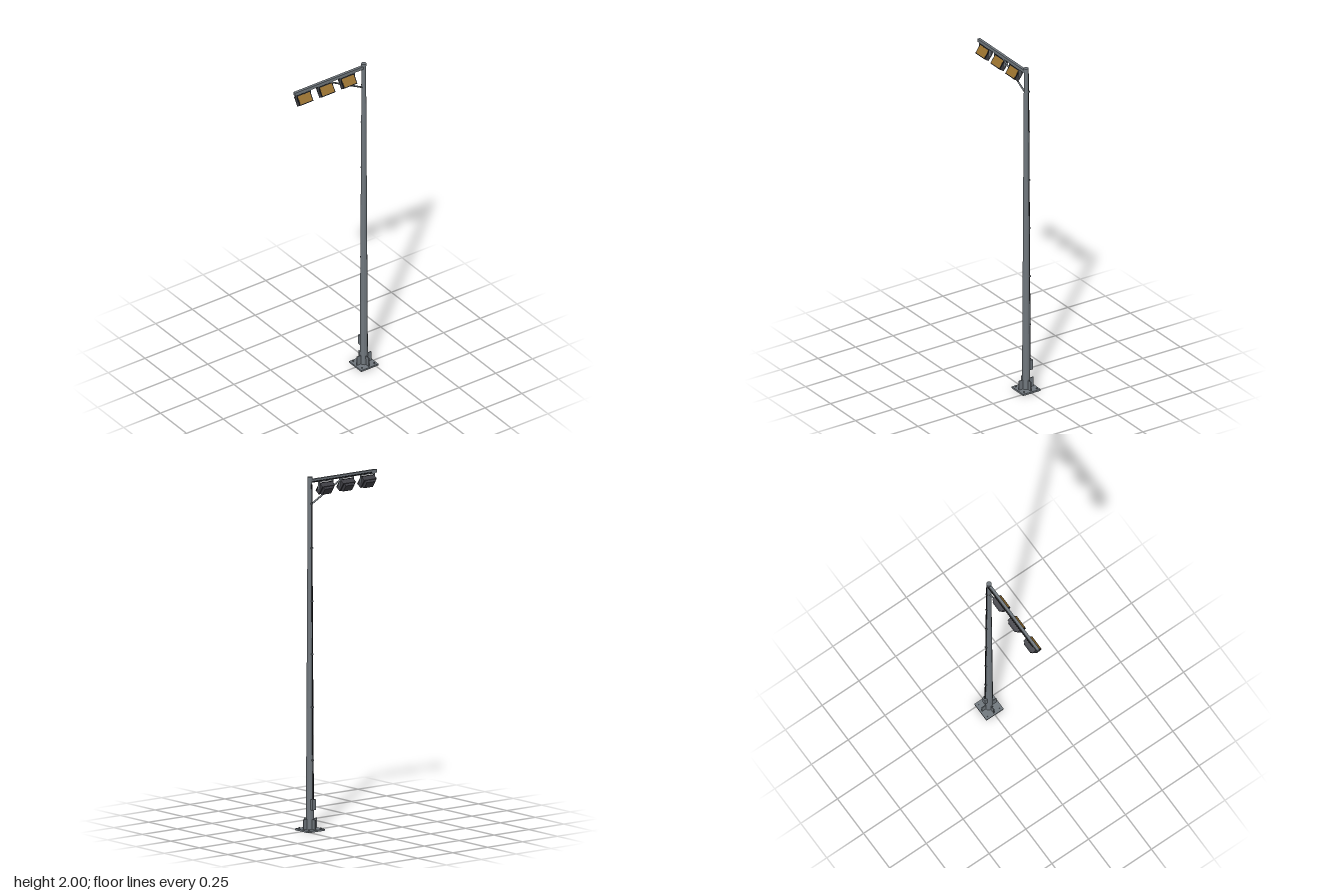
import * as THREE from 'three';

const mat = (name, color, extra = {}) => {
  const m = new THREE.MeshStandardMaterial({ color, ...extra });
  m.name = name;
  return m;
};

export function createModel() {
  const steel = mat('galvanised steel', 0x70777d);
  const pole = mat('pole steel', 0x70777d, { flatShading: true });
  const housing = mat('lamp housing', 0x3e3e44);
  const black = mat('black trim', 0x1b1b1f);
  const amber = mat('amber lens', 0x98702e);

  const root = new THREE.Group();
  root.name = 'streetLight';

  const add = (parent, name, geo, m, x = 0, y = 0, z = 0) => {
    const mesh = new THREE.Mesh(geo, m);
    mesh.name = name;
    mesh.position.set(x, y, z);
    parent.add(mesh);
    return mesh;
  };
  const box = (parent, name, m, w, h, d, x, y, z) =>
    add(parent, name, new THREE.BoxGeometry(w, h, d), m, x, y, z);
  // Round bar between two points
  const rod = (parent, name, m, a, b, r) => {
    const p = new THREE.Vector3(...a), q = new THREE.Vector3(...b);
    const dir = q.clone().sub(p);
    const mesh = add(parent, name, new THREE.CylinderGeometry(r, r, dir.length(), 8), m);
    mesh.position.copy(p).add(q).multiplyScalar(0.5);
    mesh.quaternion.setFromUnitVectors(new THREE.Vector3(0, 1, 0), dir.normalize());
    return mesh;
  };

  // Mast with its foot
  const mast = new THREE.Group();
  mast.name = 'mast';
  mast.position.x = 0.207;
  root.add(mast);
  box(mast, 'basePlate', steel, 0.117, 0.01, 0.117, 0, 0.005, 0);
  add(mast, 'pole', new THREE.CylinderGeometry(0.0125, 0.023, 1.98, 12), pole, 0, 1.0, 0);
  add(mast, 'poleCap', new THREE.CylinderGeometry(0.0145, 0.0145, 0.014, 12), pole, 0, 1.993, 0);
  for (let i = 0; i < 4; i++) {
    const a = i * Math.PI / 2;
    const fin = box(mast, 'baseFin', steel, 0.03, 0.057, 0.005,
      Math.cos(a) * 0.034, 0.0375, Math.sin(a) * 0.034);
    fin.rotation.y = -a;
    const sx = i % 2 ? 1 : -1, sz = i < 2 ? 1 : -1;
    add(mast, 'anchorBolt', new THREE.CylinderGeometry(0.004, 0.004, 0.008, 6), steel,
      sx * 0.042, 0.013, sz * 0.042);
  }

  // Conduit on the back, with its junction box and clips
  const conduitZ = y => -0.0265 + 0.0105 * (y - 0.15) / 1.8;
  rod(mast, 'conduit', black, [0, 0.15, conduitZ(0.15)], [0, 1.96, conduitZ(1.96)], 0.003);
  box(mast, 'junctionBox', steel, 0.024, 0.06, 0.018, 0, 0.15, -0.028);
  for (const y of [0.4, 0.7, 1.0, 1.3, 1.6, 1.85])
    box(mast, 'conduitClip', steel, 0.012, 0.008, 0.012, 0, y, conduitZ(y) + 0.002);

  // Arm, brace and cable
  box(root, 'arm', steel, 0.473, 0.019, 0.016, -0.0295, 1.9765, 0);
  rod(root, 'armBrace', steel, [0.2, 1.843, 0], [-0.03, 1.967, 0], 0.005);
  rod(root, 'armCable', black, [-0.228, 1.972, -0.011], [0.2, 1.972, -0.011], 0.003);

  // Tapered rear of a lamp: a box whose back end is narrowed
  const rearGeometry = () => {
    const g = new THREE.BoxGeometry(0.074, 0.05, 0.013);
    const p = g.attributes.position;
    for (let i = 0; i < p.count; i++)
      if (p.getZ(i) < 0) p.setXY(i, p.getX(i) * 0.85, p.getY(i) * 0.85);
    g.computeVertexNormals();
    return g;
  };

  // Three tilted floodlights hanging in yokes
  for (const x of [-0.205, -0.055, 0.094]) {
    const lamp = new THREE.Group();
    lamp.name = 'floodlight';
    lamp.position.set(x, 1.9245, 0.0035);
    root.add(lamp);

    box(lamp, 'yokeBar', steel, 0.1, 0.005, 0.012, 0, 0.041, -0.0035);
    for (const s of [-1, 1])
      box(lamp, 'yokeArm', steel, 0.004, 0.046, 0.01, s * 0.048, 0.0205, -0.0035);

    const head = new THREE.Group();
    head.name = 'lampHead';
    head.rotation.x = -35 * Math.PI / 180;
    lamp.add(head);
    box(head, 'lampBody', housing, 0.09, 0.058, 0.028, 0, 0, -0.003);
    add(head, 'lampRear', rearGeometry(), housing, 0, 0, -0.0235);
    box(head, 'bezel', black, 0.091, 0.059, 0.006, 0, 0, 0.014);
    box(head, 'lens', amber, 0.081, 0.049, 0.002, 0, 0, 0.0168);
  }
  return root;
}
